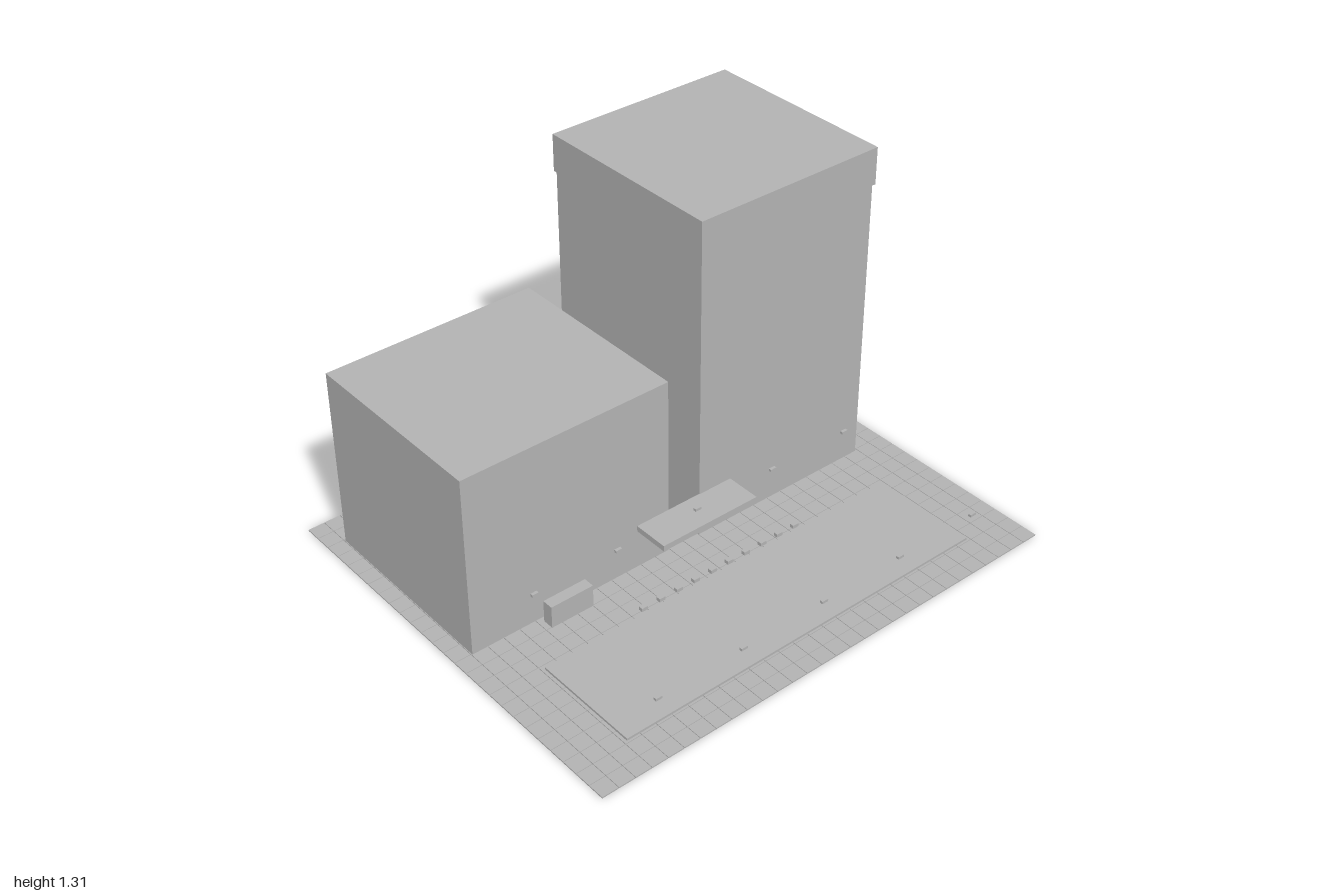
import * as THREE from 'three';

export function createModel() {
  const model = new THREE.Group();
  model.name = 'buildingComplex';
  const concrete = new THREE.MeshStandardMaterial({ color: 0xb2b2b2 });
  concrete.name = 'concrete grey';

  // Adds a box from its lower and upper limits on each axis
  const block = (name, [x0, x1], [y0, y1], [z0, z1], parent = model) => {
    const geometry = new THREE.BoxGeometry(x1 - x0, y1 - y0, z1 - z0);
    const mesh = new THREE.Mesh(geometry, concrete);
    mesh.name = name;
    mesh.position.set((x0 + x1) / 2, (y0 + y1) / 2, (z0 + z1) / 2);
    parent.add(mesh);
    return mesh;
  };
  const group = (name) => {
    const g = new THREE.Group();
    g.name = name;
    model.add(g);
    return g;
  };

  // Paving: a grid of thin tiles with narrow joints
  const columns = 30, rows = 26, depth = 1.716, joint = 0.002;
  const stepX = 2 / columns, stepZ = depth / rows;
  const paving = new THREE.InstancedMesh(
    new THREE.BoxGeometry(stepX - joint, 0.005, stepZ - joint), concrete, 1);
  const tileGeometry = paving.geometry;
  const tiles = group('paving');
  for (let i = 0; i < columns; i++) {
    for (let j = 0; j < rows; j++) {
      const tile = new THREE.Mesh(tileGeometry, concrete);
      tile.name = 'pavingTile';
      tile.position.set(-1 + (i + 0.5) * stepX, 0.0025, -depth / 2 + (j + 0.5) * stepZ);
      tiles.add(tile);
    }
  }

  // Low block
  block('lowBuilding', [-0.93, -0.073], [0.004, 0.735], [-0.717, 0.07]);

  // Tower with an overhanging crown and thin ribs on its outer side
  const tower = group('tower');
  block('towerBody', [0.069, 0.856], [0.004, 1.166], [-0.713, 0.073], tower);
  block('towerCrown', [0.063, 0.864], [1.164, 1.31], [-0.721, 0.08], tower);
  for (let k = 0; k < 18; k++) {
    const z = 0.011 - k * 0.0394;
    block('facadeRib', [0.855, 0.862], [0.004, 1.165], [z - 0.003, z + 0.003], tower);
  }

  // Entrance canopy, sign block and plaza slab
  block('canopy', [-0.215, 0.215], [0.164, 0.187], [0.07, 0.215]);
  block('signBlock', [-0.644, -0.465], [0.004, 0.095], [0.09, 0.135]);
  block('plazaSlab', [-0.787, 0.787], [0.004, 0.014], [0.285, 0.717]);

  // Row of small seats behind the slab
  const seats = group('seats');
  for (let i = 0; i < 10; i++) {
    const x = (i - 4.5) * 0.0785;
    block('seat', [x - 0.013, x + 0.013], [0.016, 0.03], [0.262, 0.28], seats);
  }

  // Two rows of lamp heads
  const lamps = group('lamps');
  for (const z of [0.143, 0.787]) {
    for (let i = -2; i <= 2; i++) {
      const x = i * 0.358;
      block('lampHead', [x - 0.013, x + 0.013], [0.195, 0.205], [z - 0.006, z + 0.006], lamps);
    }
  }
  return model;
}
